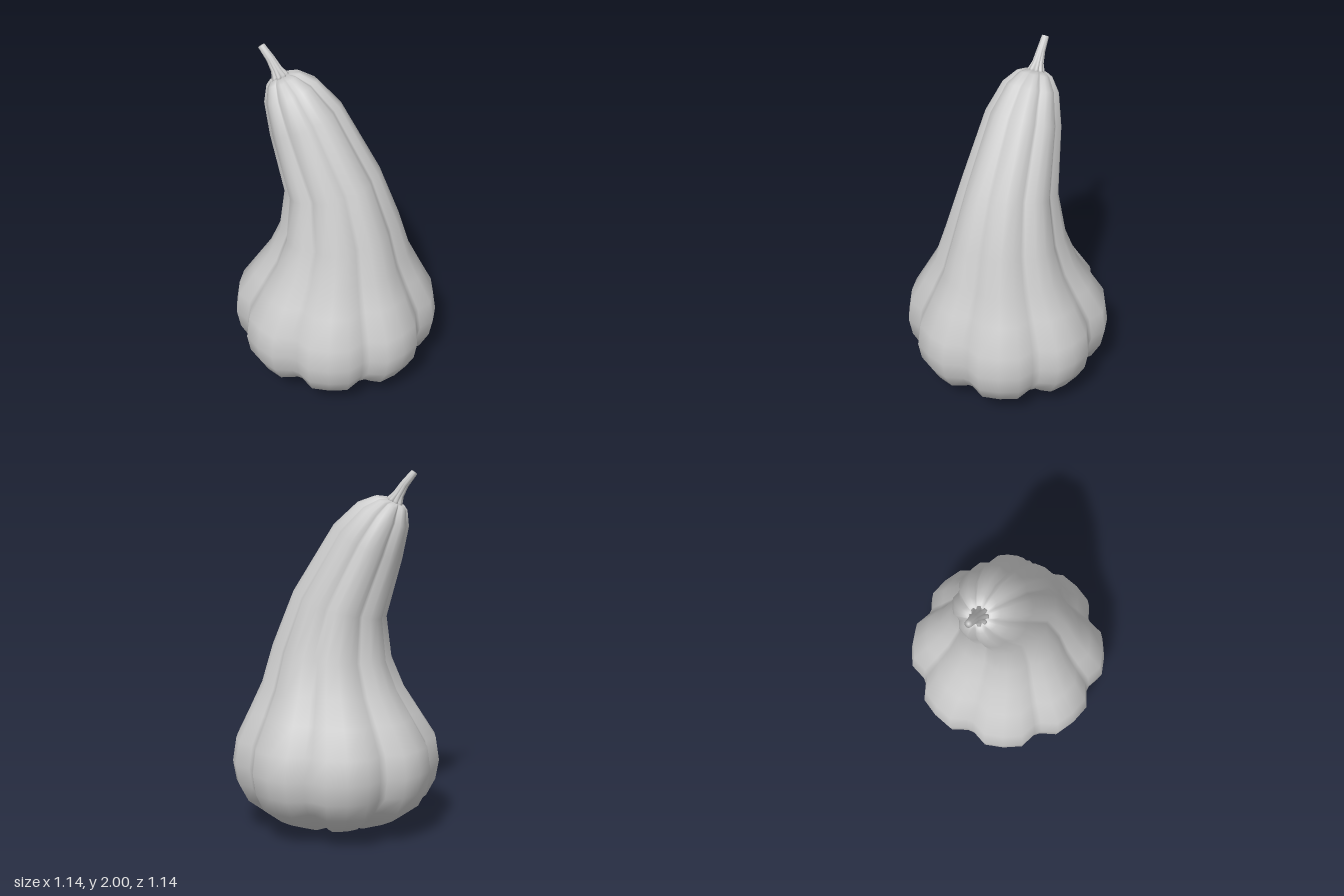
import * as THREE from 'three';

const LOBES = 8;
// Position across one lobe (0..1) and groove depth there
const LOBE = [[0.05, 1], [0.25, 0.03], [0.5, 0], [0.75, 0.03], [0.95, 1]];

// Smooth closed skin through lobed rings { x, y, r, tilt, groove, lift }, bottom to top.
// tilt turns a ring towards -x; lift raises the grooves.
function lobedSkin(rings) {
  const pos = [], index = [];
  const n = LOBES * LOBE.length;
  for (const { x, y, r, tilt = 0, groove = 0.09, lift = 0 } of rings) {
    const t = THREE.MathUtils.degToRad(tilt);
    for (let l = 0; l < LOBES; l++) {
      for (const [f, depth] of LOBE) {
        const a = (l + f) / LOBES * Math.PI * 2;
        const rr = r * (1 - groove * depth);
        const u = rr * Math.cos(a);
        pos.push(x + u * Math.cos(t), y + u * Math.sin(t) + lift * depth, rr * Math.sin(a));
      }
    }
  }
  for (let k = 0; k < rings.length - 1; k++) {
    for (let i = 0; i < n; i++) {
      const a = k * n + i, b = k * n + (i + 1) % n;
      index.push(a, a + n, b, b, a + n, b + n);
    }
  }
  // Centre points close both ends
  const first = rings[0], last = rings[rings.length - 1];
  const c0 = pos.length / 3, top = (rings.length - 1) * n;
  pos.push(first.x, first.y, 0, last.x, last.y, 0);
  for (let i = 0; i < n; i++) {
    const j = (i + 1) % n;
    index.push(c0, i, j, c0 + 1, top + j, top + i);
  }
  const geo = new THREE.BufferGeometry();
  geo.setAttribute('position', new THREE.Float32BufferAttribute(pos, 3));
  geo.setIndex(index);
  geo.computeVertexNormals();
  return geo;
}

export function createModel() {
  const group = new THREE.Group();
  group.name = 'gourd';
  const material = new THREE.MeshStandardMaterial({ color: 0xcccccc });
  const add = (name, geo) => {
    const mesh = new THREE.Mesh(geo, material);
    mesh.name = name;
    group.add(mesh);
  };

  // Ribbed body: dimpled base, round belly, neck bending to -x
  add('body', lobedSkin([
    { x: 0, y: 0.04, r: 0.025, groove: 0.3 },
    { x: 0, y: 0.002, r: 0.09, groove: 0.2, lift: 0.022 },
    { x: 0, y: 0.028, r: 0.235, groove: 0.12, lift: 0.03 },
    { x: 0, y: 0.09, r: 0.39, groove: 0.1, lift: 0.025 },
    { x: 0, y: 0.18, r: 0.51, lift: 0.015 },
    { x: 0, y: 0.28, r: 0.562 },
    { x: 0, y: 0.39, r: 0.581 },
    { x: 0, y: 0.52, r: 0.561 },
    { x: 0.008, y: 0.67, r: 0.477, tilt: 1 },
    { x: 0.018, y: 0.81, r: 0.4, tilt: 2 },
    { x: 0.024, y: 1.0, r: 0.335, tilt: 6 },
    { x: -0.022, y: 1.27, r: 0.267, tilt: 15 },
    { x: -0.18, y: 1.615, r: 0.209, tilt: 27 },
    { x: -0.265, y: 1.765, r: 0.154, tilt: 26, groove: 0.13 },
    { x: -0.308, y: 1.825, r: 0.097, tilt: 25, groove: 0.2 },
    { x: -0.325, y: 1.836, r: 0.06, tilt: 25, groove: 0.25 },
    { x: -0.327, y: 1.815, r: 0.025, tilt: 25, groove: 0.2 },
  ]));

  // Stem with a flared, ribbed foot
  add('stem', lobedSkin([
    { x: -0.322, y: 1.815, r: 0.056, tilt: 25, groove: 0.35 },
    { x: -0.33, y: 1.842, r: 0.044, tilt: 25, groove: 0.25 },
    { x: -0.348, y: 1.872, r: 0.031, tilt: 28, groove: 0.15 },
    { x: -0.38, y: 1.925, r: 0.024, tilt: 32, groove: 0.05 },
    { x: -0.433, y: 1.99, r: 0.019, tilt: 35, groove: 0 },
  ]));

  return group;
}
